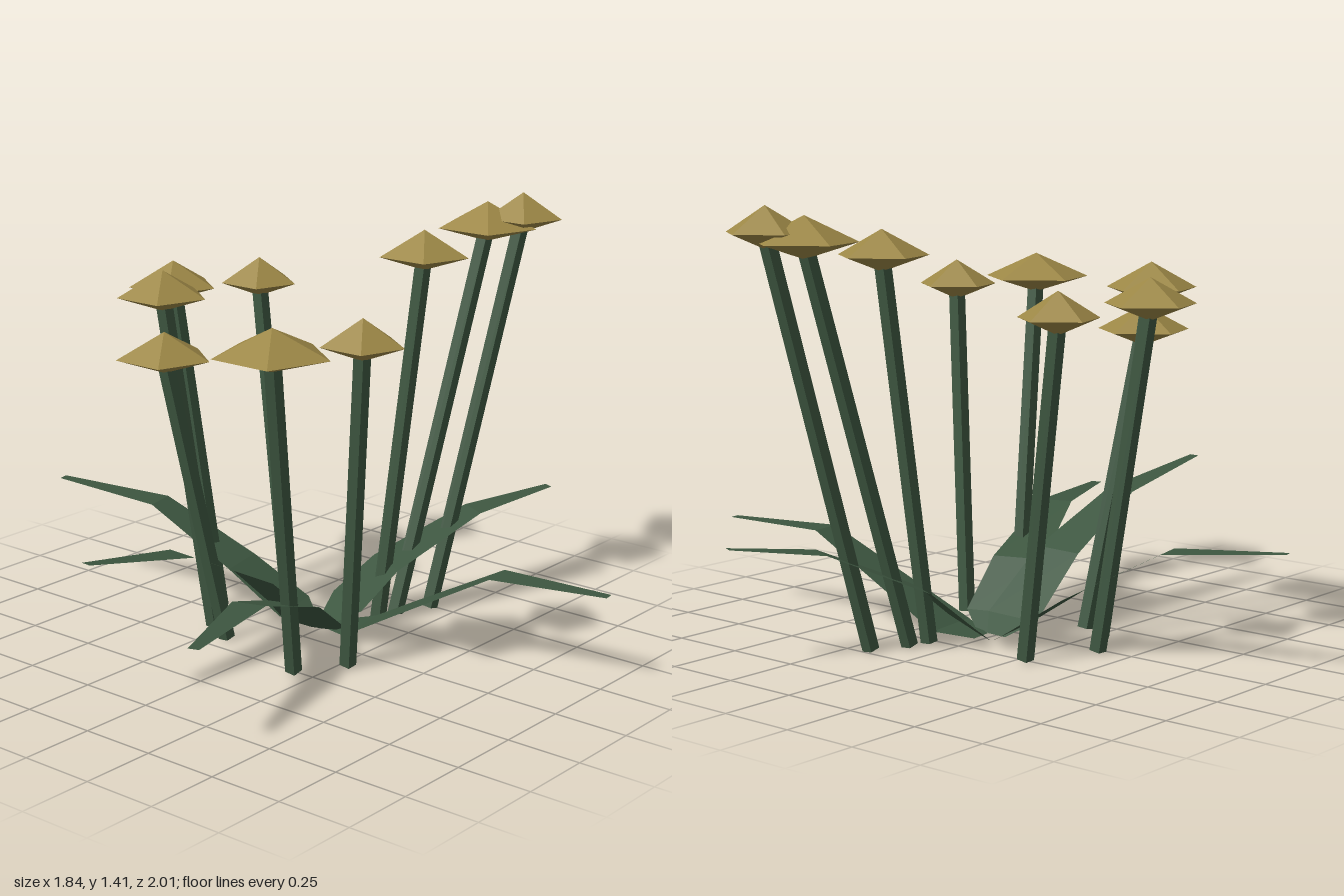
import * as THREE from 'three';

const leafMat = new THREE.MeshStandardMaterial({ color: 0x3d5640, flatShading: true, side: THREE.DoubleSide });
const stemMat = new THREE.MeshStandardMaterial({ color: 0x3d5640, flatShading: true });
const headMat = new THREE.MeshStandardMaterial({ color: 0x9c8746, flatShading: true });

// Flowers: head x, waist y, head z, head radius, stem foot x, stem foot z
const FLOWERS = [
  [0.00, 1.11, -0.56, 0.149, 0.03, -0.39],
  [0.315, 1.085, -0.455, 0.131, 0.26, -0.285],
  [-0.22, 1.135, -0.40, 0.149, -0.12, -0.285],
  [-0.36, 0.98, -0.265, 0.155, -0.18, -0.175],
  [-0.51, 1.11, 0.31, 0.184, -0.26, 0.18],
  [-0.21, 1.10, 0.41, 0.134, -0.11, 0.28],
  [0.405, 1.245, 0.175, 0.151, 0.29, 0.09],
  [0.705, 1.30, 0.21, 0.169, 0.36, 0.11],
  [0.78, 1.33, 0.30, 0.134, 0.48, 0.165],
];

// Leaf centre lines from root to tip
const LEAVES = [
  [[0.11, 0.01, -0.05], [0.10, 0.05, -0.12], [0.05, 0.18, -0.31], [-0.02, 0.35, -0.62], [-0.11, 0.38, -1.0]],
  [[0.09, 0.01, -0.02], [0.02, 0.06, -0.03], [-0.19, 0.25, -0.05], [-0.50, 0.41, -0.07], [-0.90, 0.48, -0.09]],
  [[0.08, 0.01, 0.02], [0.00, 0.06, 0.05], [-0.19, 0.20, 0.12], [-0.54, 0.33, 0.24], [-0.92, 0.33, 0.36]],
  [[0.13, 0.01, 0.01], [0.14, 0.03, 0.13], [0.17, 0.125, 0.30], [0.22, 0.30, 0.62], [0.28, 0.30, 1.0]],
  [[0.14, 0.01, -0.02], [0.21, 0.07, 0.02], [0.33, 0.19, 0.09], [0.63, 0.335, 0.23], [0.91, 0.375, 0.35]],
];
const HALF_WIDTHS = [0.04, 0.108, 0.09, 0.055, 0.018];

// Flat ribbon that widens just above the root and tapers to a blunt tip
function makeLeaf(line) {
  const root = line[0], tip = line[line.length - 1];
  const dx = tip[0] - root[0], dz = tip[2] - root[2], len = Math.hypot(dx, dz);
  const pos = [], index = [];
  line.forEach(([x, y, z], i) => {
    const ox = (dz / len) * HALF_WIDTHS[i], oz = (-dx / len) * HALF_WIDTHS[i];
    pos.push(x - ox, y, z - oz, x + ox, y, z + oz);
    if (i > 0) {
      const a = 2 * i - 2;
      index.push(a, a + 2, a + 1, a + 1, a + 2, a + 3);
    }
  });
  // Wind the faces so they look upward
  for (let i = 0; i < index.length; i += 3) [index[i + 1], index[i + 2]] = [index[i + 2], index[i + 1]];
  const geo = new THREE.BufferGeometry();
  geo.setAttribute('position', new THREE.Float32BufferAttribute(pos, 3));
  geo.setIndex(index);
  geo.computeVertexNormals();
  return new THREE.Mesh(geo, leafMat);
}

function makeFlower([x, y, z, r, fx, fz]) {
  const flower = new THREE.Group();

  // Straight four-sided stem leaning outward
  const foot = new THREE.Vector3(fx, 0.008, fz), top = new THREE.Vector3(x, y, z);
  const axis = top.clone().sub(foot);
  const stem = new THREE.Mesh(
    new THREE.CylinderGeometry(0.027, 0.027, axis.length(), 4, 1).rotateY(Math.PI / 4), stemMat);
  stem.name = 'stem';
  stem.position.copy(foot).add(top).multiplyScalar(0.5);
  stem.quaternion.setFromUnitVectors(new THREE.Vector3(0, 1, 0), axis.normalize());

  // Five-sided head: tall cone above, shallow cone below
  const profile = [[0, -0.05], [r, 0], [0, 0.083]].map(p => new THREE.Vector2(...p));
  const head = new THREE.Mesh(new THREE.LatheGeometry(profile, 5, Math.PI / 2), headMat);
  head.name = 'flowerHead';
  head.position.copy(top);

  flower.add(stem, head);
  return flower;
}

export function createModel() {
  const model = new THREE.Group();
  model.name = 'floweringPlant';
  LEAVES.forEach((line, i) => {
    const leaf = makeLeaf(line);
    leaf.name = `leaf${i + 1}`;
    model.add(leaf);
  });
  FLOWERS.forEach((spec, i) => {
    const flower = makeFlower(spec);
    flower.name = `flower${i + 1}`;
    model.add(flower);
  });
  return model;
}
